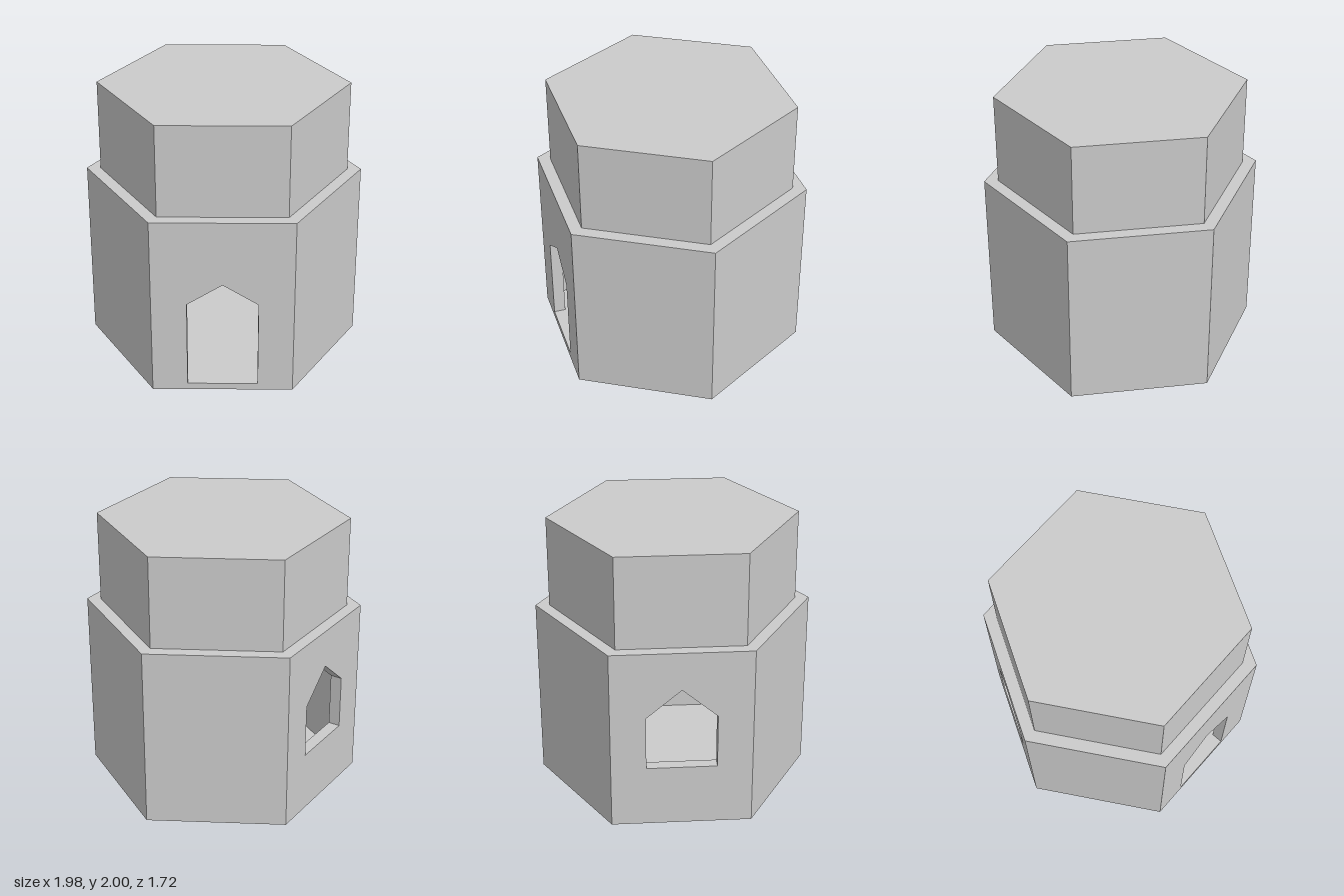
import * as THREE from 'three';

const SIDES = 6;
const OUTER_R = 0.992, INNER_R = 0.893;
const APOTHEM = Math.cos(Math.PI / SIDES);
const WALL_TOP = 1.333, TOP = 2, FLOOR_Y = 0.05, CEILING_Y = 1.28;

const material = new THREE.MeshStandardMaterial({
  color: 0xcccccc, flatShading: true, side: THREE.DoubleSide,
});

function part(name, geometry) {
  const mesh = new THREE.Mesh(geometry, material);
  mesh.name = name;
  return mesh;
}

// Pointed opening outline, counter-clockwise from its lower left corner
function gable(halfWidth, bottom, eaves, peak) {
  return [[-halfWidth, bottom], [halfWidth, bottom], [halfWidth, eaves], [0, peak], [-halfWidth, eaves]]
    .map(([x, y]) => new THREE.Vector2(x, y));
}

// One flat side of the hexagon, with an opening or a notch reaching its base
function panel(radius, y0, y1, opening) {
  const h = radius / 2;
  const outline = [new THREE.Vector2(-h, y0)];
  const notch = opening && opening[0].y <= y0;
  if (notch) outline.push(opening[0], opening[4], opening[3], opening[2], opening[1]);
  outline.push(new THREE.Vector2(h, y0), new THREE.Vector2(h, y1), new THREE.Vector2(-h, y1));
  const shape = new THREE.Shape(outline);
  if (opening && !notch) shape.holes.push(new THREE.Path(opening));
  return new THREE.ShapeGeometry(shape).translate(0, 0, radius * APOTHEM);
}

// Turns a panel so that its front looks into the room
function inward(geometry) {
  const index = geometry.index.array;
  for (let i = 0; i < index.length; i += 3) {
    [index[i], index[i + 1]] = [index[i + 1], index[i]];
  }
  const normal = geometry.attributes.normal;
  for (let i = 0; i < normal.count; i++) normal.setZ(i, -1);
  return geometry;
}

// Sill, jambs and sloping head joining the outer and inner wall faces
function reveal(opening) {
  const zOut = OUTER_R * APOTHEM, zIn = INNER_R * APOTHEM;
  const positions = [];
  opening.forEach((p, i) => {
    const q = opening[(i + 1) % opening.length];
    positions.push(p.x, p.y, zOut, q.x, q.y, zOut, q.x, q.y, zIn);
    positions.push(p.x, p.y, zOut, q.x, q.y, zIn, p.x, p.y, zIn);
  });
  const geometry = new THREE.BufferGeometry();
  geometry.setAttribute('position', new THREE.Float32BufferAttribute(positions, 3));
  geometry.computeVertexNormals();
  return geometry;
}

// Level hexagon with a corner on the x axis
function hexagon(y, faceUp) {
  return new THREE.CircleGeometry(INNER_R, SIDES)
    .rotateX(faceUp ? -Math.PI / 2 : Math.PI / 2).translate(0, y, 0);
}

export function createModel() {
  const model = new THREE.Group();
  model.name = 'hexagonalTower';

  // Hollow lower storey: a doorway in front, a window in one rear side
  const openings = {
    0: { name: 'doorway', outline: gable(0.248, FLOOR_Y, 0.70, 0.855) },
    4: { name: 'window', outline: gable(0.248, 0.45, 0.845, 1.055) },
  };
  for (let i = 0; i < SIDES; i++) {
    const opening = openings[i];
    const side = new THREE.Group();
    side.name = 'wallSide' + (i + 1);
    side.add(part('outerWall', panel(OUTER_R, 0, WALL_TOP, opening?.outline)));
    side.add(part('innerWall', inward(panel(INNER_R, FLOOR_Y, CEILING_Y, opening?.outline))));
    if (opening) side.add(part(opening.name + 'Reveal', reveal(opening.outline)));
    side.rotation.y = i * Math.PI * 2 / SIDES;
    model.add(side);
  }
  model.add(part('floor', hexagon(FLOOR_Y, true)));
  model.add(part('ceiling', hexagon(CEILING_Y, false)));

  // Ledge around the foot of the upper storey
  model.add(part('ledge', new THREE.RingGeometry(INNER_R, OUTER_R, SIDES, 1)
    .rotateX(-Math.PI / 2).translate(0, WALL_TOP, 0)));

  // Narrower upper storey and flat roof
  const height = TOP - WALL_TOP;
  model.add(part('upperWalls', new THREE.CylinderGeometry(INNER_R, INNER_R, height, SIDES, 1, true, Math.PI / 6)
    .translate(0, WALL_TOP + height / 2, 0)));
  model.add(part('roof', hexagon(TOP, true)));

  return model;
}
